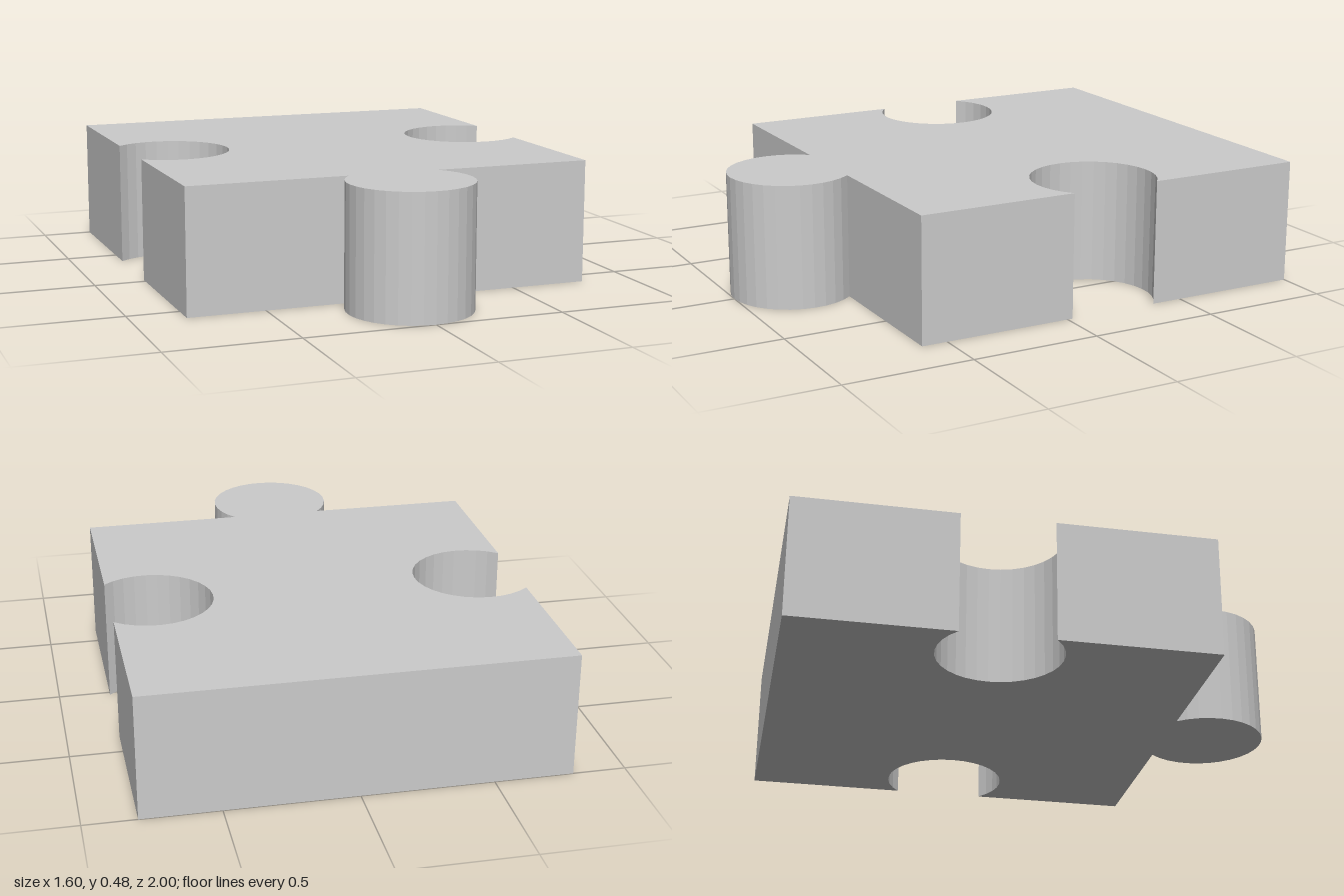
import * as THREE from 'three';

const HALF = 0.8;      // half width of the square body
const R = 0.24;        // radius of tab and sockets
const INSET = 0.16;    // distance of each circle centre from its edge
const HEIGHT = 0.48;

export function createModel() {
  const group = new THREE.Group();
  group.name = 'puzzlePiece';

  // Outline drawn in plan, with shape y = -z
  const front = -0.6, back = 1.0, mid = 0.2;
  const a = Math.asin(INSET / R), b = Math.acos(INSET / R);
  const outline = new THREE.Shape();
  outline.moveTo(HALF, back);
  outline.lineTo(-HALF, back);
  // right socket (-x)
  outline.absarc(-HALF + INSET, mid, R, Math.PI - b, Math.PI + b, true);
  outline.lineTo(-HALF, front);
  // round tab on the front edge
  outline.absarc(0, front - INSET, R, Math.PI - a, a, false);
  outline.lineTo(HALF, front);
  // left socket (+x)
  outline.absarc(HALF - INSET, mid, R, -b, b, true);
  outline.closePath();

  // Stand the extrusion up along y
  const geometry = new THREE.ExtrudeGeometry(outline, { depth: HEIGHT, bevelEnabled: false, curveSegments: 12 });
  geometry.rotateX(-Math.PI / 2);

  const piece = new THREE.Mesh(geometry, new THREE.MeshStandardMaterial({ color: 0xcccccc, flatShading: true }));
  piece.name = 'body';
  group.add(piece);
  return group;
}
